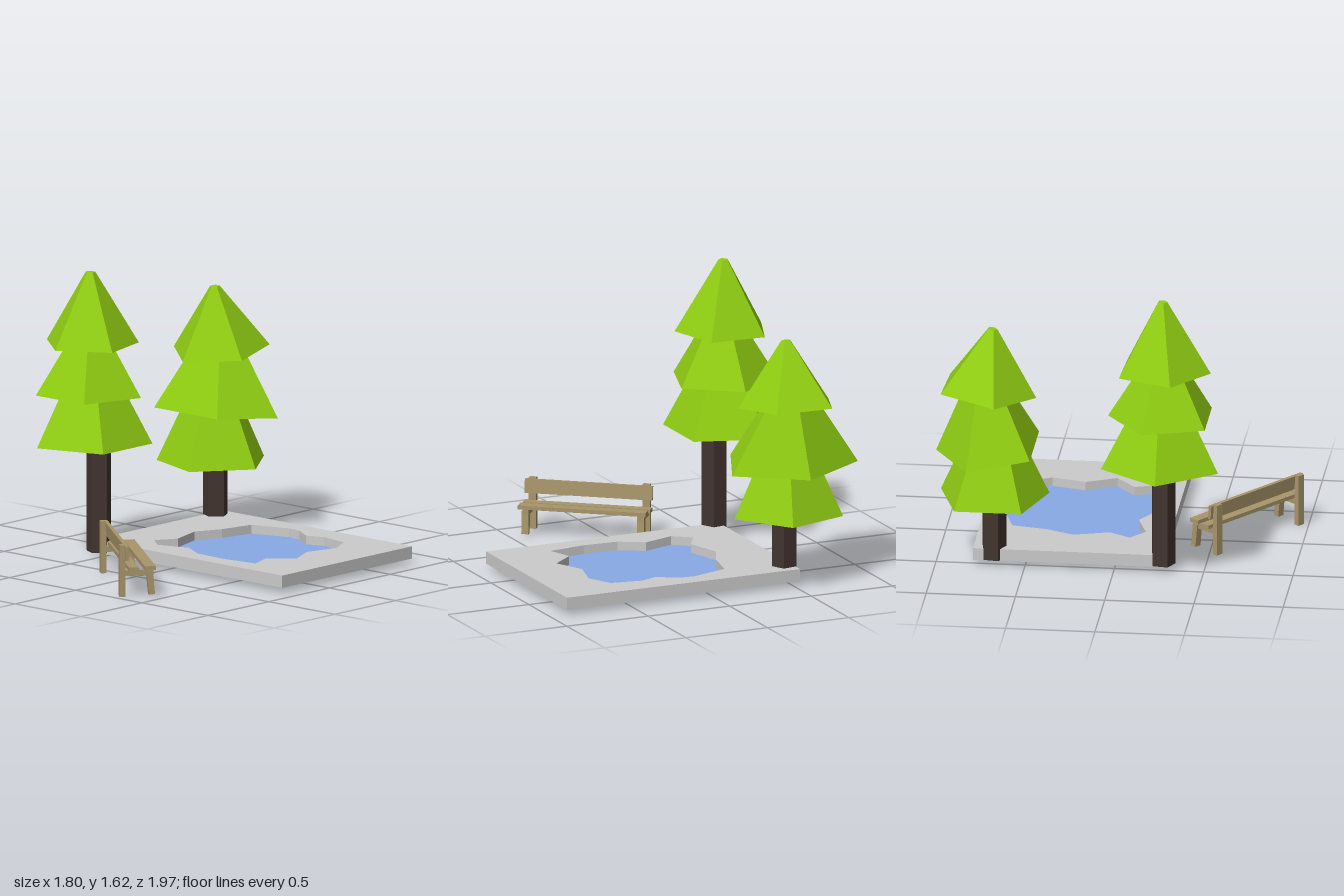
import * as THREE from 'three';

const mat = (color, extra = {}) => new THREE.MeshStandardMaterial({ color, flatShading: true, ...extra });
const stone = mat(0xcccccc);
const water = mat(0x88aae6, { side: THREE.DoubleSide });
const leaf = mat(0x8fcc12);
const bark = mat(0x43342f);
const wood = mat(0xa8956a);
const rad = THREE.MathUtils.degToRad;

function add(parent, name, geometry, material, x = 0, y = 0, z = 0) {
  const mesh = new THREE.Mesh(geometry, material);
  mesh.name = name;
  mesh.position.set(x, y, z);
  parent.add(mesh);
  return mesh;
}

// Five-sided cone frustum standing on its base; turn is the angle of one corner from +z
function frustum(rTop, rBottom, height, turn) {
  return new THREE.CylinderGeometry(rTop, rBottom, height, 5, 1, false, rad(turn)).translate(0, height / 2, 0);
}

// Trunk plus stacked foliage tiers
function makeTree(name, trunk, tiers) {
  const tree = new THREE.Group();
  tree.name = name;
  add(tree, 'trunk', frustum(0.072, 0.072, trunk.top - trunk.y, trunk.turn), bark, trunk.x, trunk.y, trunk.z);
  for (const t of tiers) {
    const mesh = add(tree, 'foliageTier', frustum(0.028, t.r, t.h, t.turn), leaf, t.x, t.y, t.z);
    mesh.rotation.x = t.tilt ?? 0;
    mesh.scale.x = t.wide ?? 1;
  }
  return tree;
}

// Paving slab with an irregular pond cut through it
function makePond() {
  const pond = new THREE.Group();
  pond.name = 'pond';
  const outline = [
    [-0.15, -0.61], [0.07, -0.68], [0.16, -0.67], [0.27, -0.60], [0.37, -0.64], [0.55, -0.61], [0.62, -0.47],
    [0.57, -0.28], [0.65, -0.11], [0.52, 0], [0.57, 0.14], [0.35, 0.17], [0.15, 0.16], [0.01, 0.08],
    [-0.17, 0.14], [-0.27, 0.06], [-0.20, -0.06], [-0.26, -0.26], [-0.19, -0.41],
  ].map(([x, z]) => new THREE.Vector2(x, -z));
  const slab = new THREE.Shape([[-0.53, -0.28], [0.90, -0.28], [0.90, 0.79], [-0.53, 0.79]]
    .map(([x, y]) => new THREE.Vector2(x, y)));
  slab.holes.push(new THREE.Path(outline));
  const slabGeo = new THREE.ExtrudeGeometry(slab, { depth: 0.07, bevelEnabled: false }).rotateX(-Math.PI / 2);
  add(pond, 'pavingSlab', slabGeo, stone, 0, 0.03, 0);
  add(pond, 'water', new THREE.ShapeGeometry(new THREE.Shape(outline)).rotateX(-Math.PI / 2), water, 0, 0.05, 0);
  return pond;
}

// Bench: local x runs along the seat, local +z is its back
function makeBench() {
  const bench = new THREE.Group();
  bench.name = 'bench';
  const box = (name, w, h, d, x, y, z) => add(bench, name, new THREE.BoxGeometry(w, h, d), wood, x, y, z);
  box('frontSeatSlat', 0.73, 0.022, 0.062, 0.005, 0.165, -0.048);
  box('rearSeatSlat', 0.73, 0.022, 0.056, 0, 0.16, 0.043);
  box('backrest', 0.73, 0.08, 0.02, 0, 0.25, 0.08).rotation.x = 0.08;
  for (const side of [-1, 1]) {
    box('backPost', 0.042, 0.295, 0.03, side * 0.325, 0.1475, 0.104);
    box('crossRail', 0.032, 0.03, 0.17, side * 0.325, 0.135, 0.015);
    const leg = box('frontLeg', 0.04, 0.135, 0.034, side * 0.33, 0.078, -0.055);
    leg.rotation.x = 0.1;
  }
  bench.position.set(0.11, 0, 0.665);
  bench.rotation.y = -0.664;
  return bench;
}

export function createModel() {
  const model = new THREE.Group();
  model.name = 'parkPond';
  model.add(
    makePond(),
    makeTree('tallTree', { x: -0.495, y: 0.04, z: 0.27, top: 0.75, turn: 10 }, [
      { x: -0.555, y: 0.65, z: 0.27, r: 0.345, h: 0.6, turn: 54 },
      { x: -0.55, y: 0.93, z: 0.28, r: 0.31, h: 0.46, turn: 36 },
      { x: -0.555, y: 1.21, z: 0.275, r: 0.273, h: 0.41, turn: -3 },
    ]),
    makeTree('shortTree', { x: -0.485, y: 0.035, z: -0.68, top: 0.5, turn: 10 }, [
      { x: -0.5, y: 0.40, z: -0.68, r: 0.32, h: 0.63, turn: 17.5 },
      { x: -0.5, y: 0.69, z: -0.695, r: 0.305, h: 0.55, turn: 36, tilt: -0.075, wide: 1.33 },
      { x: -0.495, y: 1.03, z: -0.72, r: 0.285, h: 0.37, turn: -3, tilt: 0.1 },
    ]),
    makeBench(),
  );
  return model;
}
